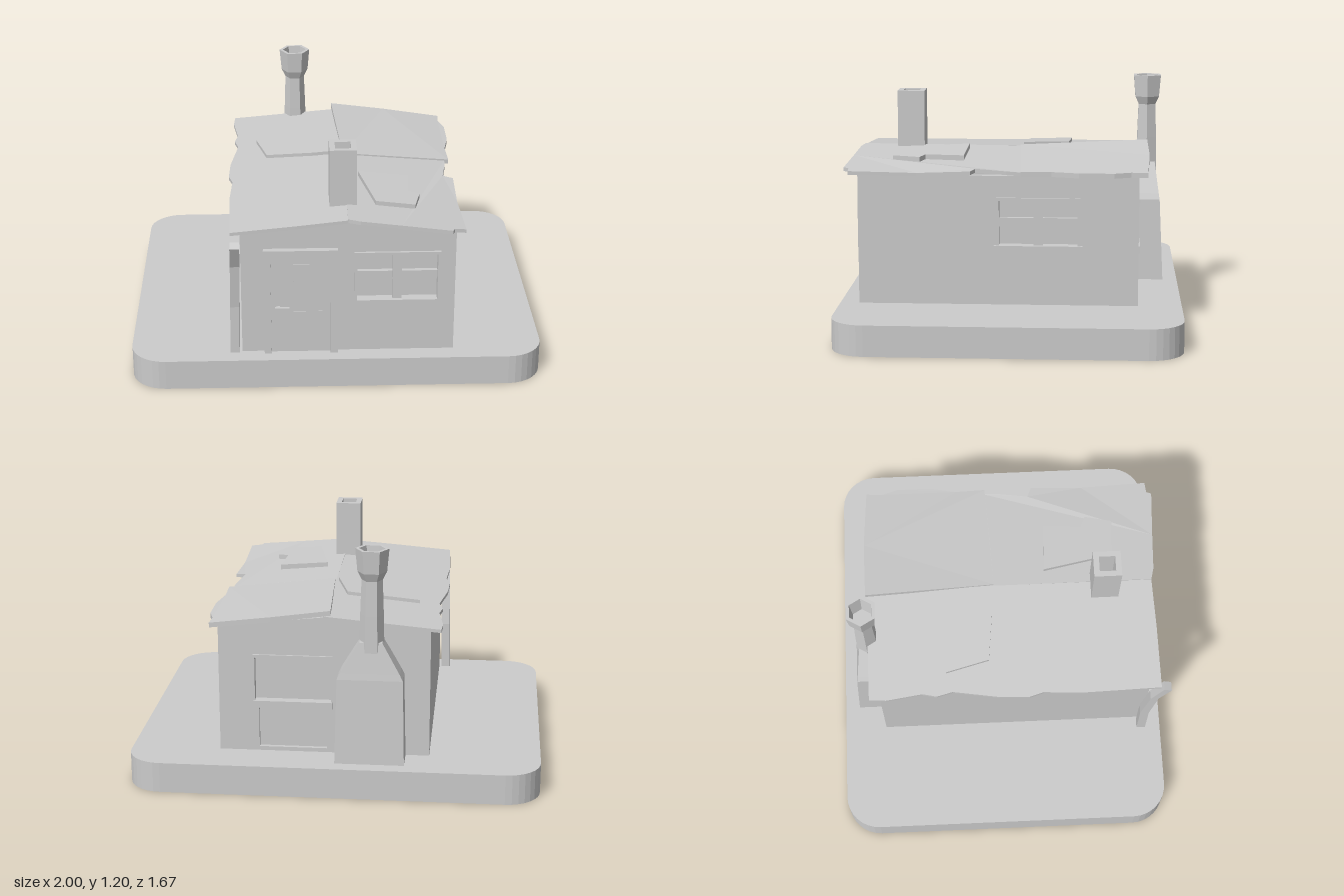
import * as THREE from 'three';

const material = new THREE.MeshStandardMaterial({ color: 0xcccccc, flatShading: true, side: THREE.DoubleSide });

function add(parent, name, geometry, x = 0, y = 0, z = 0) {
  const mesh = new THREE.Mesh(geometry, material);
  mesh.name = name;
  mesh.position.set(x, y, z);
  parent.add(mesh);
  return mesh;
}

// Box given by its two extreme corners
function box(parent, name, [x0, y0, z0], [x1, y1, z1]) {
  return add(parent, name, new THREE.BoxGeometry(x1 - x0, y1 - y0, z1 - z0),
    (x0 + x1) / 2, (y0 + y1) / 2, (z0 + z1) / 2);
}

const polygon = pts => new THREE.Shape(pts.map(p => new THREE.Vector2(p[0], p[1])));
const rect = (x0, y0, x1, y1) => polygon([[x0, y0], [x1, y0], [x1, y1], [x0, y1]]);
const extrude = (shape, depth) =>
  new THREE.ExtrudeGeometry(shape, { depth, bevelEnabled: false, curveSegments: 4 });

// Slab with an (x, z) outline whose underside follows height(x, z)
function slab(parent, name, outline, height, thickness) {
  const geometry = extrude(polygon(outline.map(([x, z]) => [x, -z])), thickness).rotateX(-Math.PI / 2);
  const p = geometry.attributes.position;
  for (let i = 0; i < p.count; i++) p.setY(i, p.getY(i) + height(p.getX(i), p.getZ(i)));
  geometry.computeVertexNormals();
  return add(parent, name, geometry);
}

// Skin through rings of equal point counts; the last ring may be capped
function loft(rings, capped) {
  const n = rings[0].length, index = [];
  for (let r = 0; r < rings.length - 1; r++) {
    for (let i = 0; i < n; i++) {
      const a = r * n + i, b = r * n + (i + 1) % n;
      index.push(a, a + n, b, b, a + n, b + n);
    }
  }
  const last = (rings.length - 1) * n;
  if (capped) for (let i = 1; i < n - 1; i++) index.push(last, last + i + 1, last + i);
  const geometry = new THREE.BufferGeometry();
  geometry.setAttribute('position', new THREE.Float32BufferAttribute(rings.flat(2), 3));
  geometry.setIndex(index);
  const flat = geometry.toNonIndexed();
  flat.computeVertexNormals();
  return flat;
}

function roundedRect(w, d, r) {
  const s = new THREE.Shape();
  s.absarc(w - r, d - r, r, 0, Math.PI / 2);
  s.absarc(-w + r, d - r, r, Math.PI / 2, Math.PI);
  s.absarc(-w + r, -d + r, r, Math.PI, Math.PI * 1.5);
  s.absarc(w - r, -d + r, r, Math.PI * 1.5, Math.PI * 2);
  return s;
}

// Wall in its own frame: u to the right, y up, outer face at local z = 0
const wallDepth = 0.035;
function wall(parent, name, outline, holes, x, z, turn) {
  const group = new THREE.Group();
  group.name = name;
  group.position.set(x, 0, z);
  group.rotation.y = turn;
  parent.add(group);
  const shape = polygon(outline);
  holes.forEach(h => shape.holes.push(rect(...h)));
  add(group, name + 'Panel', extrude(shape, wallDepth), 0, 0, -wallDepth);
  return group;
}

// Recessed window with frame, pane, mullion and crossbar
function windowSet(parent, [u0, y0, u1, y1], sill) {
  const t = 0.014;
  const frame = rect(u0 - t, y0 - t, u1 + t, y1 + t);
  frame.holes.push(rect(u0, y0, u1, y1));
  add(parent, 'windowFrame', extrude(frame, 0.05), 0, 0, -0.038);
  const m = (u0 + u1) / 2, c = y0 + (y1 - y0) * 0.5;
  box(parent, 'windowPane', [u0 - t, y0 - t, -0.05], [u1 + t, y1 + t, -0.04]);
  box(parent, 'windowMullion', [m - 0.022, y0, -0.04], [m + 0.022, y1, -0.005]);
  box(parent, 'windowCrossbar', [u0, c - 0.022, -0.04], [u1, c + 0.022, -0.018]);
  if (sill) box(parent, 'windowSill', [u0 - 0.025, y0 - 0.05, -0.02], [u1 + 0.025, y0, 0.02]);
}

export function createModel() {
  const model = new THREE.Group();
  model.name = 'cabin';
  const L = -0.46, R = 0.565, F = 0.74, B = -0.62, ground = 0.15, eave = 0.785, ridge = 0.84;

  // Ground base: thin top plate, open under the house, with a skirt
  const plate = roundedRect(1, 0.833, 0.17);
  plate.holes.push(rect(L + 0.03, -F + 0.03, R - 0.03, -B - 0.03));
  add(model, 'baseTop', extrude(plate, 0.006).rotateX(-Math.PI / 2), 0, ground - 0.006, 0);
  const rim = roundedRect(1, 0.833, 0.17);
  rim.holes.push(roundedRect(0.994, 0.827, 0.165));
  add(model, 'baseSkirt', extrude(rim, ground).rotateX(-Math.PI / 2));

  // Walls
  const frontWindow = [0.095, 0.425, 0.48, 0.665], sideWindow = [-0.055, 0.445, 0.325, 0.665];
  const hatch = [-0.39, 0.41, -0.02, 0.63], lowerPanel = [-0.37, 0.17, -0.04, 0.37];
  const front = wall(model, 'frontWall',
    [[L, ground], [R, ground], [R, eave], [0.05, ridge], [L, eave]], [frontWindow], 0, F, 0);
  const back = wall(model, 'backWall',
    [[-R, ground], [-L, ground], [-L, eave], [-0.05, ridge], [-R, eave]], [hatch, lowerPanel], 0, B, Math.PI);
  const right = wall(model, 'rightWall',
    [[-F, ground], [-B, ground], [-B, eave], [-F, eave]], [sideWindow], R, 0, Math.PI / 2);
  wall(model, 'leftWall', [[B, ground], [F, ground], [F, eave], [B, eave]], [], L, 0, -Math.PI / 2);
  windowSet(front, frontWindow, false);
  windowSet(right, sideWindow, true);

  // Back hatch with a shelf above the lower panel
  box(back, 'hatchPane', [-0.4, 0.4, -0.055], [-0.01, 0.64, -0.045]);
  box(back, 'hatchShelf', [-0.4, 0.375, -0.03], [-0.01, 0.41, 0.012]);
  box(back, 'hatchLintel', [-0.4, 0.63, -0.03], [-0.01, 0.645, 0.01]);
  box(back, 'lowerHatchPanel', [-0.38, 0.15, -0.045], [-0.03, 0.38, -0.02]);

  // Door with frame, two panels and handle
  const frame = polygon([[-0.352, ground], [-0.318, ground], [-0.318, 0.665], [-0.032, 0.665],
    [-0.032, ground], [0.003, ground], [0.003, 0.702], [-0.352, 0.702]]);
  add(front, 'doorFrame', extrude(frame, 0.03));
  box(front, 'door', [-0.318, ground, -0.01], [-0.032, 0.665, 0.008]);
  [[0.2, 0.37], [0.43, 0.62]].forEach(([y0, y1]) =>
    box(front, 'doorPanel', [-0.21, y0, 0], [-0.07, y1, 0.011]));
  box(front, 'doorHandle', [-0.298, 0.382, 0.015], [-0.23, 0.398, 0.03]);
  box(front, 'doorHandleStem', [-0.295, 0.382, 0], [-0.275, 0.398, 0.02]);

  // Ragged roof in three overlapping sheets
  const leftH = x => 0.842 - Math.abs(0.05 - x) * 0.088;
  const rightH = (x, z) => 0.842 - (x - 0.05) * 0.1 + 0.006 * Math.sin(z * 9);
  const backH = (x, z) => {
    const t = Math.min(1, Math.max(0, (x - 0.02) / 0.59));
    return (0.842 - z * 0.034) * (1 - t) + 0.785 * t;
  };
  slab(model, 'leftRoof', [[-0.51, -0.665], [0.05, -0.665], [0.05, 0], [0.05, 0.77], [-0.2, 0.78], [-0.505, 0.785],
    [-0.515, 0.4], [-0.505, 0.2], [-0.525, 0.13], [-0.52, -0.02], [-0.485, -0.25], [-0.505, -0.33], [-0.49, -0.4],
    [-0.515, -0.58]], leftH, 0.016);
  slab(model, 'frontRightRoof', [[0.05, -0.06], [0.58, -0.06], [0.575, 0.02], [0.55, 0.17], [0.6, 0.19], [0.595, 0.45],
    [0.605, 0.78], [0.55, 0.785], [0.54, 0.81], [0.3, 0.795], [0.11, 0.785], [0.05, 0.77]], rightH, 0.018);
  slab(model, 'backRightRoof', [[0.015, -0.67], [0.3, -0.675], [0.6, -0.66], [0.595, -0.58], [0.62, -0.5], [0.62, -0.33],
    [0.595, -0.2], [0.6, -0.05], [0.3, -0.035], [0.055, -0.025]], backH, 0.024);

  // Roof patches
  slab(model, 'leftRoofPatch', [[-0.39, -0.28], [-0.03, -0.27], [0.035, -0.04], [-0.1, -0.04], [-0.335, -0.065]],
    x => leftH(x) + 0.008, 0.025);
  slab(model, 'rightRoofPatch', [[0.12, 0.23], [0.37, 0.24], [0.355, 0.43], [0.41, 0.455], [0.38, 0.59], [0.19, 0.58]],
    x => 0.852 - (x - 0.05) * 0.09, 0.03);

  // Hollow square flue near the front
  const flue = rect(-0.032, -0.598, 0.098, -0.462);
  flue.holes.push(rect(-0.005, -0.57, 0.071, -0.49));
  add(model, 'frontFlue', extrude(flue, 0.32).rotateX(-Math.PI / 2), 0, 0.82, 0);

  // Back chimney: tapered base, then a hexagonal stack with a flared open cap
  const quad = (y, x0, x1, z0, z1) => [[x0, y, z0], [x1, y, z0], [x1, y, z1], [x0, y, z1]];
  add(model, 'chimneyBase', loft([
    quad(ground, -0.345, -0.01, -0.76, -0.6),
    quad(0.57, -0.335, -0.02, -0.74, -0.6),
    quad(0.6, -0.32, -0.035, -0.735, -0.6),
    quad(0.75, -0.235, -0.125, -0.715, -0.63),
  ].map(ring => ring.reverse()), true));
  const hex = (y, r) => Array.from({ length: 6 }, (_, i) => {
    const a = i * Math.PI / 3;
    return [-0.182 + r * Math.cos(a), y, -0.672 - r * Math.sin(a)];
  }).reverse();
  add(model, 'chimneyStack', loft([hex(0.7, 0.06), hex(0.88, 0.056), hex(1.05, 0.05), hex(1.09, 0.07),
    hex(1.2, 0.08), hex(1.2, 0.062), hex(1.09, 0.05)], true));

  // Bent board leaning at the front left corner
  const board = polygon([[0.71, ground], [0.755, ground], [0.755, 0.4], [0.785, 0.63], [0.84, 0.75], [0.802, 0.768],
    [0.745, 0.63], [0.71, 0.4]]);
  const boardGeometry = extrude(board, 0.045).rotateY(-Math.PI / 2);
  const p = boardGeometry.attributes.position;
  for (let i = 0; i < p.count; i++) p.setX(i, p.getX(i) - (0.77 - p.getY(i)) * 0.02);
  boardGeometry.computeVertexNormals();
  add(model, 'leaningBoard', boardGeometry, -0.461, 0, 0);

  return model;
}
